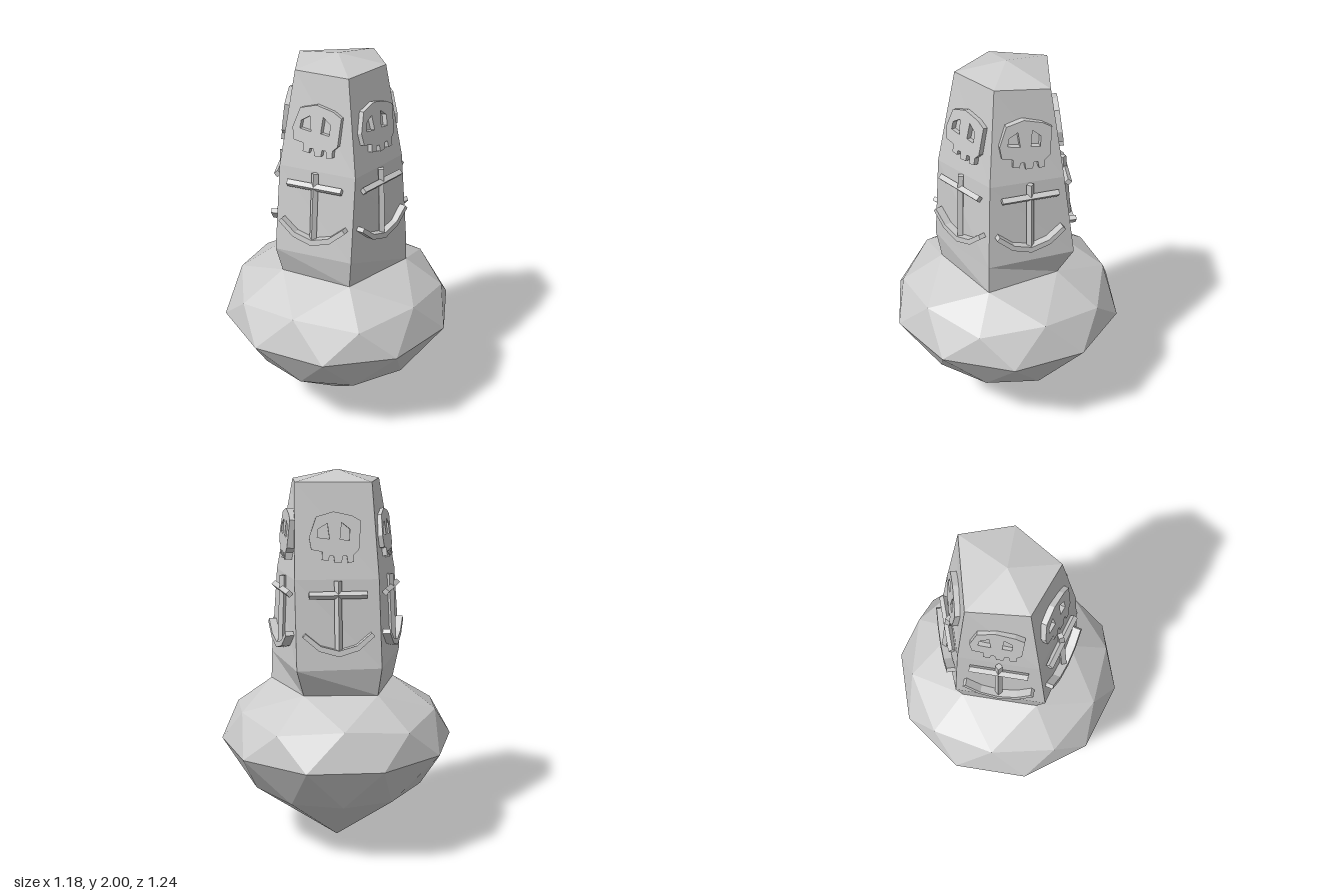
import * as THREE from 'three';

const V = (x, y, z) => new THREE.Vector3(x, y, z);
const material = new THREE.MeshStandardMaterial({ color: 0xcccccc, flatShading: true });

// Ring of n points; radius and height may depend on the index
function ring(n, startDeg, radius, height) {
  return Array.from({ length: n }, (_, k) => {
    const a = THREE.MathUtils.degToRad(startDeg + (k * 360) / n);
    return V(radius(k) * Math.cos(a), height(k), radius(k) * Math.sin(a));
  });
}

// Triangle band between two rings of equal count
function band(lower, upper) {
  const out = [];
  lower.forEach((p, i) => {
    const j = (i + 1) % lower.length;
    out.push(p, upper[i], upper[j], p, upper[j], lower[j]);
  });
  return out;
}

// Triangles from a ring to a tip above or below it
function fan(points, tip, up) {
  return points.flatMap((p, i) => {
    const q = points[(i + 1) % points.length];
    return up ? [p, tip, q] : [tip, p, q];
  });
}

function mesh(name, geometry) {
  const m = new THREE.Mesh(geometry, material);
  m.name = name;
  return m;
}

function facetMesh(name, triangles) {
  const g = new THREE.BufferGeometry().setFromPoints(triangles);
  g.computeVertexNormals();
  return mesh(name, g);
}

const shapeOf = (pts) => new THREE.Shape(pts.map(([x, y]) => new THREE.Vector2(x, y)));

// Slightly irregular five-sided tower, rings listed from the bottom up
const tower = [
  [0.88, [0.365, 0, 0.10, 0.33, -0.265, 0.20, -0.265, -0.20, 0.10, -0.30]],
  [1.03, [0.36, 0, 0.11, 0.355, -0.29, 0.245, -0.29, -0.225, 0.11, -0.385]],
  [1.48, [0.325, 0, 0.125, 0.32, -0.265, 0.20, -0.265, -0.20, 0.135, -0.325]],
  [1.95, [0.235, 0, 0.08, 0.235, -0.19, 0.135, -0.215, -0.155, 0.15, -0.25]],
].map(([y, c]) => [0, 1, 2, 3, 4].map((i) => V(c[2 * i], y, c[2 * i + 1])));

// Point on the corner edge i of the tower at height y
function cornerAt(i, y) {
  const k = y < 1.48 ? 1 : 2;
  const a = tower[k][i % 5], b = tower[k + 1][i % 5];
  return a.clone().lerp(b, (y - a.y) / (b.y - a.y));
}

// Seat a group in the middle of tower wall i, its +z facing outwards
function seatOnWall(group, i, y) {
  const mid = (h) => cornerAt(i, h).add(cornerAt(i + 1, h)).multiplyScalar(0.5);
  const x = cornerAt(i, y).sub(cornerAt(i + 1, y)).normalize();
  const z = x.clone().cross(mid(y + 0.1).sub(mid(y - 0.1))).normalize();
  const m = new THREE.Matrix4().makeBasis(x, z.clone().cross(x), z).setPosition(mid(y));
  group.applyMatrix4(m);
  return group;
}

function skull() {
  const s = shapeOf([
    [-0.13, 0], [-0.12, -0.06], [-0.065, -0.07], [-0.068, -0.11], [-0.035, -0.115], [-0.03, -0.09],
    [-0.01, -0.09], [-0.005, -0.125], [0.03, -0.122], [0.035, -0.09], [0.055, -0.09], [0.06, -0.125],
    [0.09, -0.12], [0.09, -0.085], [0.115, -0.06], [0.125, 0.08], [0.08, 0.105], [-0.01, 0.125], [-0.095, 0.10],
  ]);
  s.holes.push(
    shapeOf([[-0.04, 0.068], [-0.03, -0.008], [-0.09, 0], [-0.085, 0.04]]),
    shapeOf([[0.03, 0.072], [0.07, 0.04], [0.068, -0.015], [0.022, -0.01]]),
  );
  const g = new THREE.ExtrudeGeometry(s, { depth: 0.045, bevelEnabled: false });
  g.translate(0, 0, -0.02);
  const group = new THREE.Group();
  group.name = 'skullRelief';
  group.add(mesh('skull', g));
  return group;
}

function anchor() {
  const group = new THREE.Group();
  group.name = 'anchorRelief';
  // Diamond-section stem and crossbar
  const stem = mesh('anchorStem', new THREE.CylinderGeometry(0.019, 0.019, 0.35, 4));
  stem.position.set(0, 0.01, 0.014);
  const bar = mesh('anchorCrossbar', new THREE.CylinderGeometry(0.019, 0.019, 0.29, 4));
  bar.rotation.z = Math.PI / 2;
  bar.position.set(0, 0.115, 0.018);
  // Curved hook
  const hook = new THREE.ExtrudeGeometry(shapeOf([
    [-0.18, -0.09], [-0.1, -0.16], [0, -0.19], [0.1, -0.16], [0.18, -0.09],
    [0.165, -0.072], [0.09, -0.135], [0, -0.16], [-0.09, -0.135], [-0.165, -0.072],
  ]), { depth: 0.045, bevelEnabled: false });
  hook.translate(0, 0, -0.005);
  group.add(stem, bar, mesh('anchorHook', hook));
  return group;
}

export function createModel() {
  const model = new THREE.Group();
  model.name = 'carvedTower';

  // Faceted base: pointed underside, ten-sided rim, shoulder closing on the tower foot
  const even = (k) => k % 2 === 0;
  const rim = ring(10, 18, () => 0.618, () => 0.58);
  const under = ring(10, 0, (k) => (even(k) ? 0.44 : 0.46), (k) => (even(k) ? 0.33 : 0.345));
  const shoulder = ring(10, 0, (k) => (even(k) ? 0.56 : 0.53), (k) => (even(k) ? 0.735 : 0.77));
  const rimShifted = [rim[9], ...rim.slice(0, 9)];
  const foot = tower[0];
  const top = foot.flatMap((p, j) => {
    const q = foot[(j + 1) % 5], a = shoulder[2 * j], b = shoulder[2 * j + 1], c = shoulder[(2 * j + 2) % 10];
    return [a, p, b, b, p, q, b, q, c];
  });
  model.add(facetMesh('base', [
    ...fan(under, V(0, 0, 0), false), ...band(under, rimShifted), ...band(rim, shoulder), ...top,
  ]));

  // Tower walls and low pointed cap
  model.add(facetMesh('tower', [
    ...band(tower[0], tower[1]), ...band(tower[1], tower[2]), ...band(tower[2], tower[3]),
    ...fan(tower[3], V(0, 2, 0), true),
  ]));

  // One skull and one anchor on every wall
  for (let i = 0; i < 5; i++) {
    model.add(seatOnWall(skull(), i, 1.685), seatOnWall(anchor(), i, 1.29));
  }
  return model;
}
